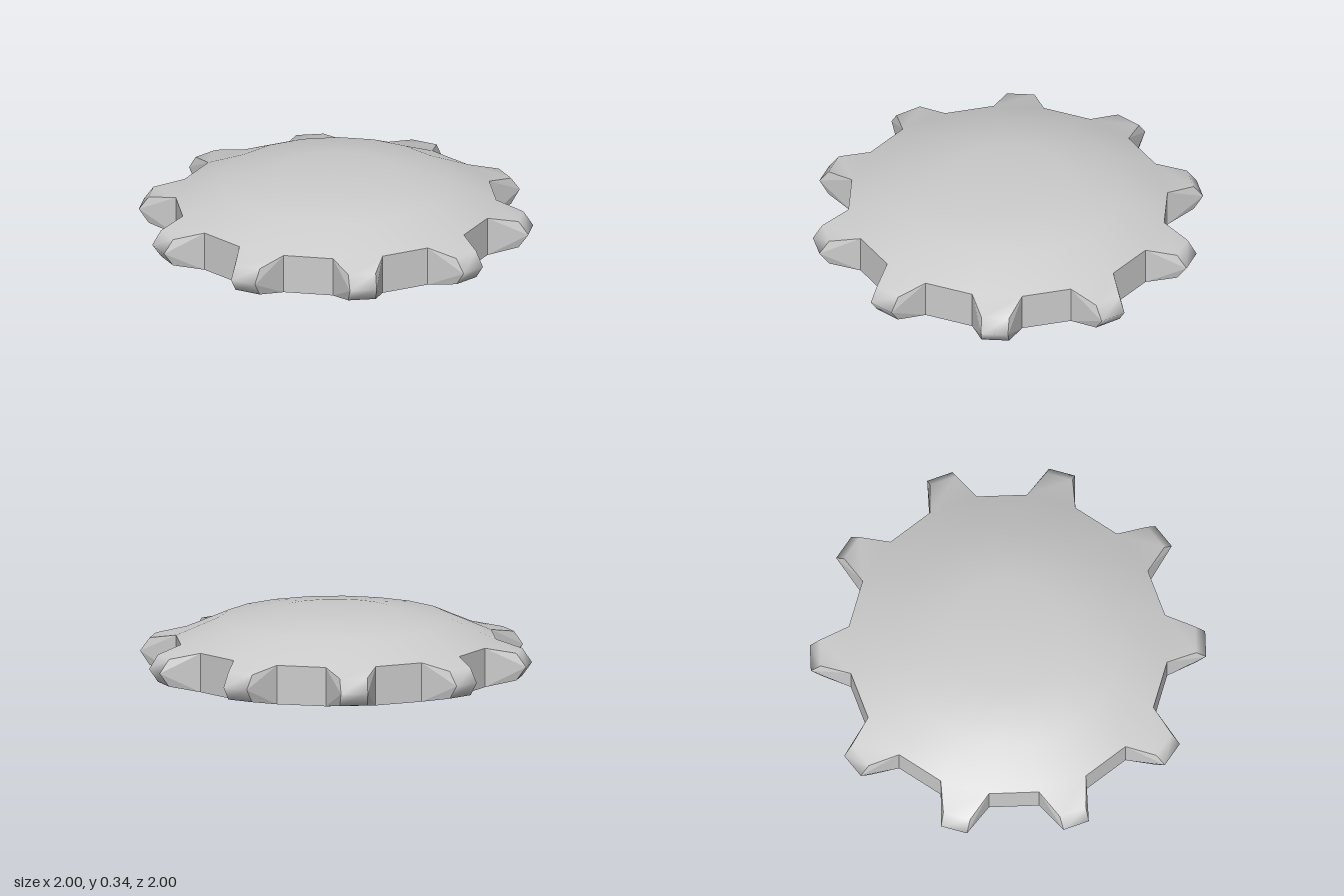
import * as THREE from 'three';

const TEETH = 10, SIDES = TEETH * 2, STEP = (Math.PI * 2) / SIDES;
const RIM = 0.81, THICK = 0.2;
// dome rings [radius, height]
const DOME = [[0.3, 0.338], [0.583, 0.3], [RIM, THICK]];
// tooth rows from top to bottom [distance from axis, height, half width]
const TOOTH = [[0.95, 0.17, 0.07], [1.0, 0.1, 0.068], [0.95, 0.03, 0.07]];

const onRing = (i, r, y) => [r * Math.sin(i * STEP), y, -r * Math.cos(i * STEP)];

// point on a tooth row; side -1 or +1
function onTooth(i, [r, y, w], side) {
  const a = (i + 0.5) * STEP, s = Math.sin(a), c = Math.cos(a);
  return [r * s + side * w * c, y, -r * c + side * w * s];
}

// collects polygons; shared corners give smooth normals
class Surface {
  constructor() { this.pos = []; this.index = []; this.lookup = new Map(); }
  vertex(p) {
    const key = p.map((v) => Math.round(v * 1e4)).join();
    if (!this.lookup.has(key)) {
      this.lookup.set(key, this.pos.length / 3);
      this.pos.push(...p);
    }
    return this.lookup.get(key);
  }
  face(...pts) {
    const v = pts.map((p) => this.vertex(p));
    for (let k = 1; k < v.length - 1; k++) this.index.push(v[0], v[k], v[k + 1]);
  }
  mesh(name, flat) {
    let g = new THREE.BufferGeometry();
    g.setAttribute('position', new THREE.Float32BufferAttribute(this.pos, 3));
    g.setIndex(this.index);
    if (flat) g = g.toNonIndexed();
    g.computeVertexNormals();
    const mesh = new THREE.Mesh(g, new THREE.MeshStandardMaterial({ color: 0xcccccc, flatShading: flat }));
    mesh.name = name;
    return mesh;
  }
}

export function createModel() {
  const skin = new Surface(), walls = new Surface();

  for (let i = 0; i < SIDES; i++) {
    const j = (i + 1) % SIDES;
    const top = [onRing(i, RIM, THICK), onRing(j, RIM, THICK)];
    const bottom = [onRing(i, RIM, 0), onRing(j, RIM, 0)];

    // domed top
    const rings = DOME.map(([r, y]) => [onRing(i, r, y), onRing(j, r, y)]);
    skin.face([0, 0.345, 0], rings[0][1], rings[0][0]);
    for (let k = 0; k < rings.length - 1; k++) {
      const a = rings[k], b = rings[k + 1];
      skin.face(a[0], a[1], b[1], b[0]);
    }

    // flat underside
    skin.face([0, 0, 0], bottom[0], bottom[1]);

    if (i % 2) {
      // rim wall between two teeth
      walls.face(top[0], top[1], bottom[1], bottom[0]);
      continue;
    }

    // tooth: rounded skin from top to underside
    const rows = [top, ...TOOTH.map((t) => [onTooth(i, t, -1), onTooth(i, t, 1)]), bottom];
    for (let k = 0; k < rows.length - 1; k++) {
      const a = rows[k], b = rows[k + 1];
      skin.face(a[0], a[1], b[1], b[0]);
    }

    // tooth flanks
    for (const [a, b, c] of [[0, 1, 2], [0, 2, 4], [2, 3, 4]]) {
      walls.face(rows[a][0], rows[b][0], rows[c][0]);
      walls.face(rows[c][1], rows[b][1], rows[a][1]);
    }
  }

  const group = new THREE.Group();
  group.name = 'domedGear';
  group.add(skin.mesh('domeAndTeeth', false), walls.mesh('rimWallsAndToothFlanks', true));
  return group;
}
